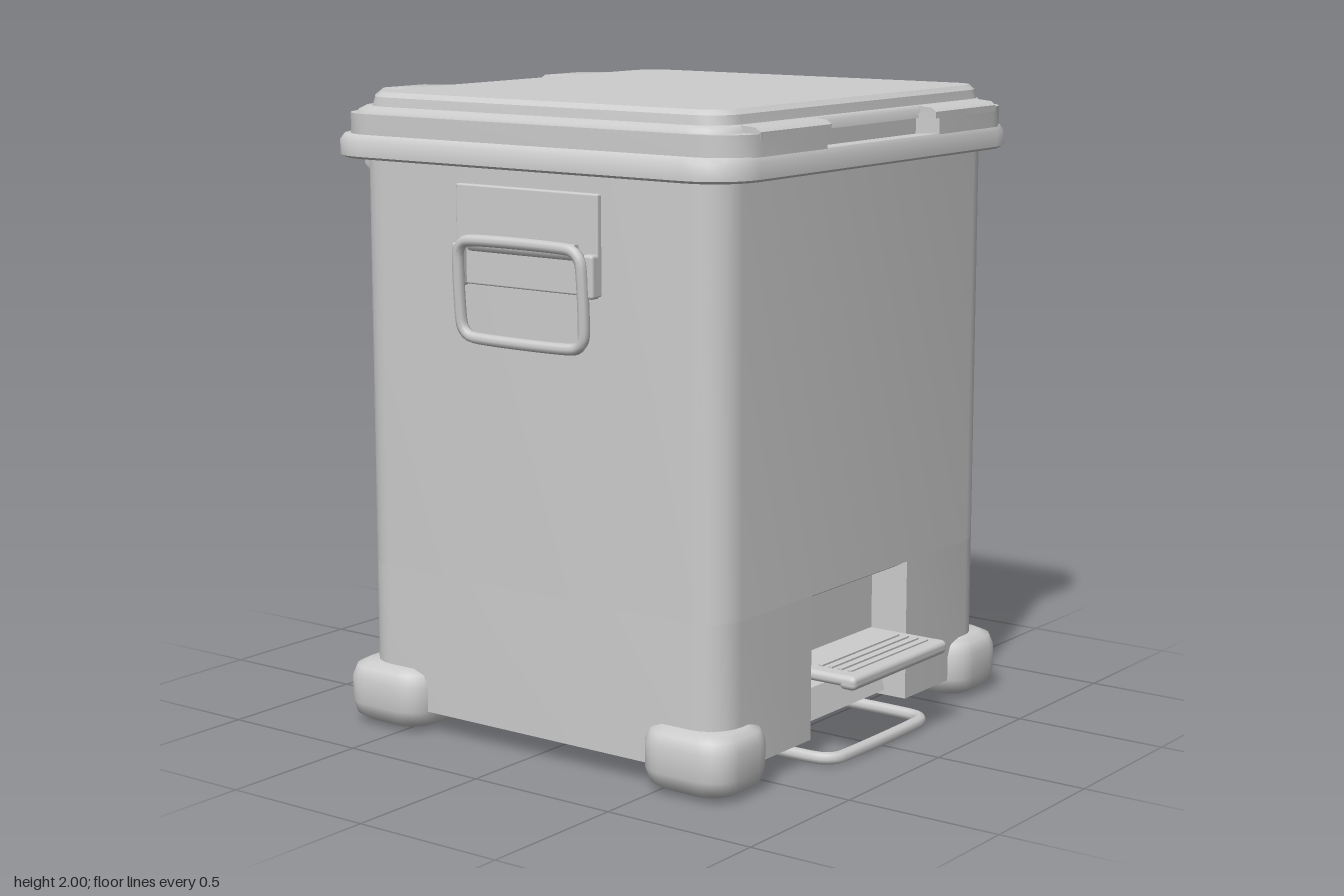
import * as THREE from 'three';
import { toCreasedNormals } from 'three/addons/utils/BufferGeometryUtils.js';
import { RoundedBoxGeometry } from 'three/addons/geometries/RoundedBoxGeometry.js';

// Points of a rounded rectangle in x/z, running from +x towards +z
function ring(hx, z0, z1, r, n = 6) {
  const pts = [];
  const corners = [[hx - r, z1 - r], [-hx + r, z1 - r], [-hx + r, z0 + r], [hx - r, z0 + r]];
  corners.forEach(([cx, cz], k) => {
    for (let i = 0; i <= n; i++) {
      const a = (k + i / n) * Math.PI / 2;
      pts.push([cx + r * Math.cos(a), cz + r * Math.sin(a)]);
    }
  });
  return pts;
}

// Solid through rounded rectangles, each level = [y, halfX, zBack, zFront, radius]
function loft(levels, crease = 0.6) {
  const rings = levels.map(([y, hx, z0, z1, r]) => ring(hx, z0, z1, r).map(([x, z]) => [x, y, z]));
  const pos = [];
  const tri = (...p) => p.forEach((v) => pos.push(...v));
  const n = rings[0].length, top = rings.length - 1;
  const centre = (k) => [0, levels[k][0], (levels[k][2] + levels[k][3]) / 2];
  for (let i = 0; i < n; i++) {
    const j = (i + 1) % n;
    for (let k = 0; k < top; k++) {
      const a = rings[k], b = rings[k + 1];
      tri(a[i], b[i], b[j]);
      tri(a[i], b[j], a[j]);
    }
    tri(centre(top), rings[top][j], rings[top][i]);
    tri(centre(0), rings[0][i], rings[0][j]);
  }
  const g = new THREE.BufferGeometry();
  g.setAttribute('position', new THREE.Float32BufferAttribute(pos, 3));
  return toCreasedNormals(g, crease);
}

// Upright slab from an x/z outline
function slab(outline, y0, y1) {
  const s = new THREE.Shape(outline.map(([x, z]) => new THREE.Vector2(x, -z)));
  const g = new THREE.ExtrudeGeometry(s, { depth: y1 - y0, bevelEnabled: false });
  g.rotateX(-Math.PI / 2).translate(0, y0, 0);
  return toCreasedNormals(g, 0.6);
}

// Side profile of [z, y] points swept across x, with optional bevel
function prism(profile, x0, x1, bevel = 0) {
  const s = new THREE.Shape(profile.map(([z, y]) => new THREE.Vector2(-z, y)));
  const g = new THREE.ExtrudeGeometry(s, {
    depth: x1 - x0 - 2 * bevel, bevelEnabled: bevel > 0, bevelSize: bevel,
    bevelThickness: bevel, bevelOffset: -bevel, bevelSegments: 2,
  });
  g.rotateY(Math.PI / 2).translate(x0 + bevel, 0, 0);
  return toCreasedNormals(g, 0.7);
}

// Closed wire loop lying in the x/z plane
function wireLoop(hx, hz, r, wire) {
  const pts = ring(hx, -hz, hz, r, 4).map(([x, z]) => new THREE.Vector3(x, 0, z));
  return new THREE.TubeGeometry(new THREE.CatmullRomCurve3(pts, true), 96, wire, 8, true);
}

// Outline with a cut in its front edge and, if asked, its back edge
function notched(hx, z0, z1, r, half, inner, depth, both) {
  const pts = ring(hx, z0, z1, r);
  const q = pts.length / 4;
  const cut = (s, z, d) => [[s * half, z], [s * inner, z - d], [-s * inner, z - d], [-s * half, z]];
  return [
    ...pts.slice(0, q), ...cut(1, z1, depth), ...pts.slice(q, 3 * q),
    ...(both ? cut(-1, z0, -depth) : []), ...pts.slice(3 * q),
  ];
}

export function createModel() {
  const group = new THREE.Group();
  const plastic = new THREE.MeshStandardMaterial({ color: 0xcccccc });
  plastic.name = 'greyPlastic';
  const add = (name, geometry, parent = group) => {
    const m = new THREE.Mesh(geometry, plastic);
    m.name = name;
    parent.add(m);
    return m;
  };

  // Bin body, with pedal pockets cut into the lower front and back
  const Z0 = -0.68, Z1 = 0.71;
  add('bodyLower', slab(notched(0.745, Z0, Z1, 0.11, 0.27, 0.27, 0.13, true), 0.07, 0.52));
  add('bodyUpper', loft([[0.52, 0.745, Z0, Z1, 0.11], [1.82, 0.745, Z0, Z1, 0.11]]));
  add('basePlate', loft([[0.03, 0.5, -0.44, 0.47, 0.1], [0.07, 0.58, -0.5, 0.53, 0.1]]));

  // Lid: rim, stepped tier with a finger notch, raised top
  add('lidRim', loft([
    [1.8, 0.8, -0.75, 0.77, 0.15], [1.808, 0.815, -0.765, 0.782, 0.16],
    [1.855, 0.815, -0.765, 0.782, 0.16], [1.872, 0.8, -0.755, 0.772, 0.15],
  ], 0.9));
  add('lidStep', slab(notched(0.775, -0.745, 0.777, 0.14, 0.31, 0.27, 0.06, false), 1.87, 1.935));
  add('lidShoulder', loft([
    [1.92, 0.765, -0.73, 0.725, 0.13], [1.945, 0.76, -0.72, 0.72, 0.13], [1.957, 0.74, -0.7, 0.71, 0.12],
  ], 0.9));
  for (const s of [-1, 1]) {
    add('lidFrontLip', prism([[0.7, 1.92], [0.777, 1.92], [0.777, 1.94], [0.76, 1.952], [0.7, 1.957]],
      s > 0 ? 0.29 : -0.65, s > 0 ? 0.65 : -0.29));
  }
  add('lidTop', loft([
    [1.95, 0.735, -0.67, 0.7, 0.1], [1.985, 0.73, -0.66, 0.695, 0.1], [2.0, 0.715, -0.645, 0.68, 0.09],
  ], 0.5));

  // Hinge covers
  const hinge = [[-0.64, 1.999], [-0.78, 1.995], [-0.812, 1.975], [-0.825, 1.92], [-0.868, 1.8],
    [-0.862, 1.75], [-0.835, 1.725], [-0.7, 1.69], [-0.67, 1.7], [-0.64, 1.85]];
  for (const x of [-0.405, 0.4]) add('hingeCover', prism(hinge, x - 0.107, x + 0.107, 0.012));

  // Corner feet
  for (const sx of [-1, 1]) for (const z of [-0.57, 0.6]) {
    const foot = add('foot', loft([
      [0.01, 0.1, -0.12, 0.12, 0.07], [0.03, 0.13, -0.15, 0.15, 0.085], [0.07, 0.142, -0.16, 0.16, 0.09],
      [0.15, 0.142, -0.16, 0.16, 0.09], [0.185, 0.13, -0.148, 0.148, 0.085], [0.2, 0.1, -0.12, 0.12, 0.07],
    ], 1.1));
    foot.position.set(sx * 0.663, 0, z);
  }

  // Side handles: plate, pivot housing and swinging wire
  for (const s of [-1, 1]) {
    const handle = new THREE.Group();
    handle.name = s > 0 ? 'leftHandle' : 'rightHandle';
    group.add(handle);
    const plate = add('handlePlate', new RoundedBoxGeometry(0.025, 0.3, 0.54, 2, 0.006), handle);
    plate.position.set(s * 0.75, 1.595, 0.015);
    const housing = add('handleHousing', new THREE.CylinderGeometry(0.024, 0.024, 0.4, 12), handle);
    housing.rotation.x = Math.PI / 2;
    housing.position.set(s * 0.775, 1.572, 0.015);
    for (const z of [-0.235, 0.265]) {
      const lug = add('handleLug', new RoundedBoxGeometry(0.04, 0.13, 0.04, 2, 0.01), handle);
      lug.position.set(s * 0.768, 1.505, z);
    }
    const wire = add('handleWire', wireLoop(0.235, 0.148, 0.05, 0.018), handle);
    wire.rotation.set(Math.PI / 2, 0, Math.PI / 2, 'ZYX');
    wire.geometry.rotateX(Math.PI / 2).rotateY(Math.PI / 2);
    wire.rotation.set(0, 0, s * -0.06);
    wire.position.set(s * 0.79, 1.435, 0.015);
  }

  // Front and back pedals
  for (const s of [-1, 1]) {
    const face = s > 0 ? Z1 : -Z0;
    const pedal = new THREE.Group();
    pedal.name = s > 0 ? 'frontPedal' : 'backPedal';
    pedal.rotation.y = s > 0 ? 0 : Math.PI;
    group.add(pedal);
    // Sloping pocket ceiling and lower kick panel
    add('pocketCeiling', prism([[face, 0.521], [face - 0.14, 0.521], [face - 0.14, 0.47], [face - 0.05, 0.495]],
      -0.27, 0.27), pedal);
    add('kickPanel', prism([[face - 0.14, 0.2], [face - 0.1, 0.18], [face - 0.07, 0.09], [face - 0.14, 0.07]],
      -0.26, 0.26), pedal);
    // Ribbed tread
    const front = s > 0 ? 0.865 : 0.85;
    const tread = add('tread', new RoundedBoxGeometry(0.54, 0.035, 0.29, 3, 0.016), pedal);
    tread.position.set(0, 0.272, front - 0.145);
    for (let i = 0; i < 4; i++) {
      const rib = add('treadRib', new THREE.BoxGeometry(0.44, 0.008, 0.015), pedal);
      rib.position.set(0, 0.291, front - 0.05 - i * 0.035);
    }
    const edge = add('treadEdge', new RoundedBoxGeometry(0.54, 0.045, 0.06, 3, 0.018), pedal);
    edge.position.set(0, 0.268, front - 0.03);
    // Floor loop that the pedal rests on
    const loop = add('floorLoop', wireLoop(0.275, 0.215, 0.06, 0.02), pedal);
    loop.position.set(0, 0.02, s > 0 ? 0.575 : 0.545);
  }
  return group;
}
